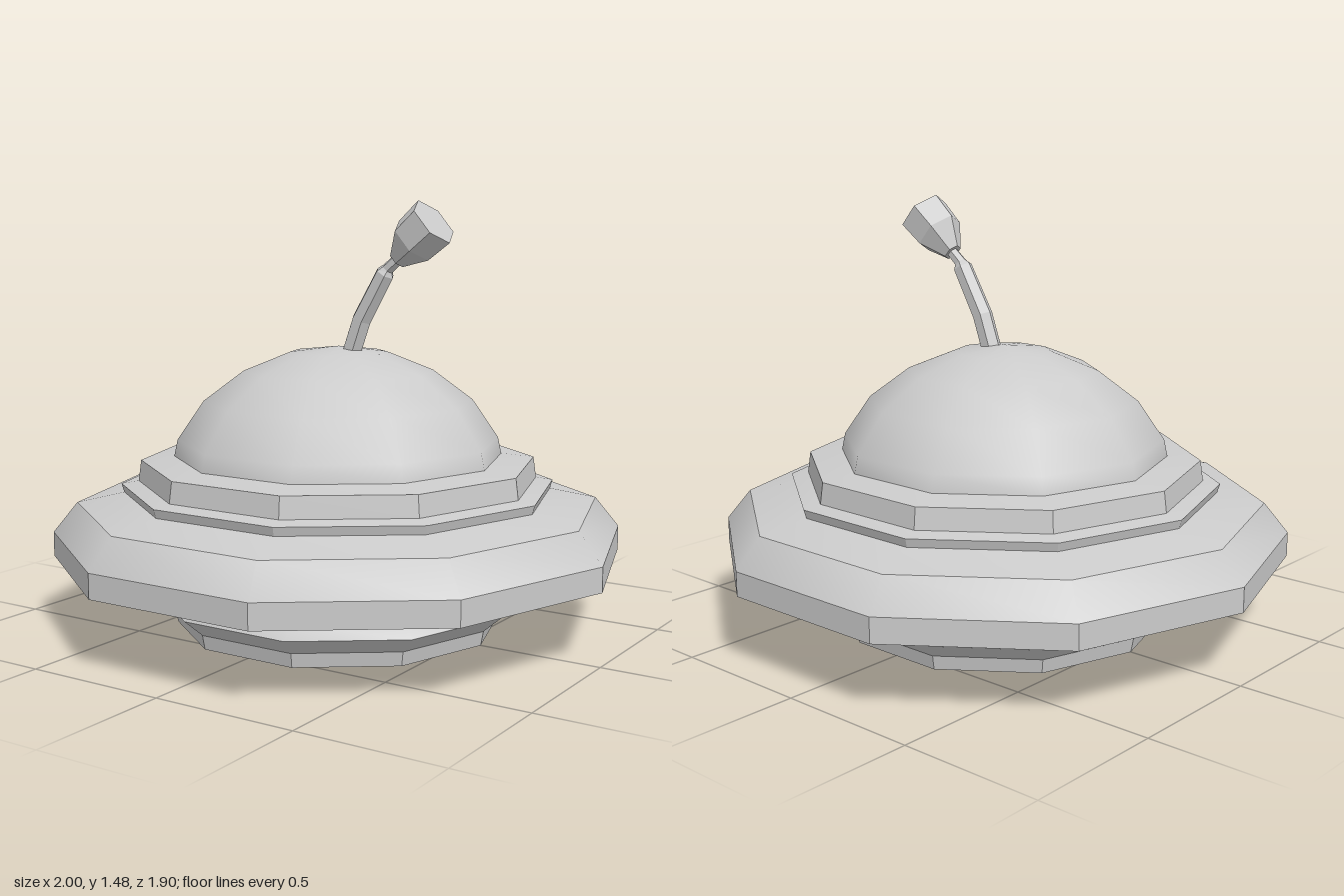
import * as THREE from 'three';
import { toCreasedNormals } from 'three/addons/utils/BufferGeometryUtils.js';

const SIDES = 10;
const grey = new THREE.MeshStandardMaterial({ color: 0xcccccc, side: THREE.DoubleSide });
const greyFlat = new THREE.MeshStandardMaterial({ color: 0xcccccc, flatShading: true });

// Ten-sided turned part with a corner on +x; profile of [radius, height]
function turned(name, profile, smooth) {
  const points = profile.map(([r, y]) => new THREE.Vector2(r, y));
  let geometry = new THREE.LatheGeometry(points, SIDES, Math.PI / 2);
  if (!smooth) geometry = toCreasedNormals(geometry, THREE.MathUtils.degToRad(30));
  const mesh = new THREE.Mesh(geometry, grey);
  mesh.name = name;
  return mesh;
}

// Six-sided rod swept in the xy plane; rings of [x, y, radius, lean from vertical]
function rod(name, rings) {
  const n = rings.length - 1;
  const geometry = new THREE.CylinderGeometry(1, 1, n, 6, n, false, Math.PI / 2);
  const pos = geometry.attributes.position;
  for (let i = 0; i < pos.count; i++) {
    const [x, y, r, lean] = rings[Math.round(pos.getY(i) + n / 2)];
    const across = pos.getX(i) * r;
    pos.setXYZ(i, x + across * Math.cos(lean), y - across * Math.sin(lean), pos.getZ(i) * r);
  }
  geometry.computeVertexNormals();
  const mesh = new THREE.Mesh(geometry, greyFlat);
  mesh.name = name;
  return mesh;
}

export function createModel() {
  const model = new THREE.Group();
  model.name = 'flyingSaucer';

  // Foot with a shallow recess below
  model.add(turned('base', [
    [0, 0.03], [0.48, 0.03], [0.49, 0.02], [0.55, 0], [0.57, 0],
    [0.58, 0.05], [0.65, 0.11], [0.61, 0.16],
  ]));

  // Wide disc
  model.add(turned('disc', [
    [0, 0.16], [0.61, 0.16], [1, 0.245], [1, 0.33], [0.915, 0.435], [0.75, 0.47],
  ]));

  // Stepped rings under the dome
  model.add(turned('lowerRing', [[0.75, 0.467], [0.76, 0.5], [0.69, 0.512]]));
  model.add(turned('upperRing', [[0.7, 0.51], [0.69, 0.583], [0.57, 0.597]]));

  // Dome
  model.add(turned('dome', [
    [0.575, 0.595], [0.562, 0.655], [0.47, 0.79], [0.33, 0.895], [0.168, 0.96], [0, 0.98],
  ], true));

  // Bent antenna with a flared tip
  const antenna = new THREE.Group();
  antenna.name = 'antenna';
  antenna.add(rod('antennaRod', [
    [0.05, 0.95, 0.036, 0.25], [0.095, 1.075, 0.036, 0.42], [0.188, 1.235, 0.034, 0.55],
    [0.198, 1.25, 0.022, 0.7], [0.245, 1.29, 0.02, 0.86],
  ]));
  antenna.add(rod('antennaTip', [
    [0.235, 1.283, 0.033, 0.86], [0.298, 1.347, 0.086, 0.86], [0.375, 1.41, 0.092, 0.86],
  ]));
  model.add(antenna);

  return model;
}
